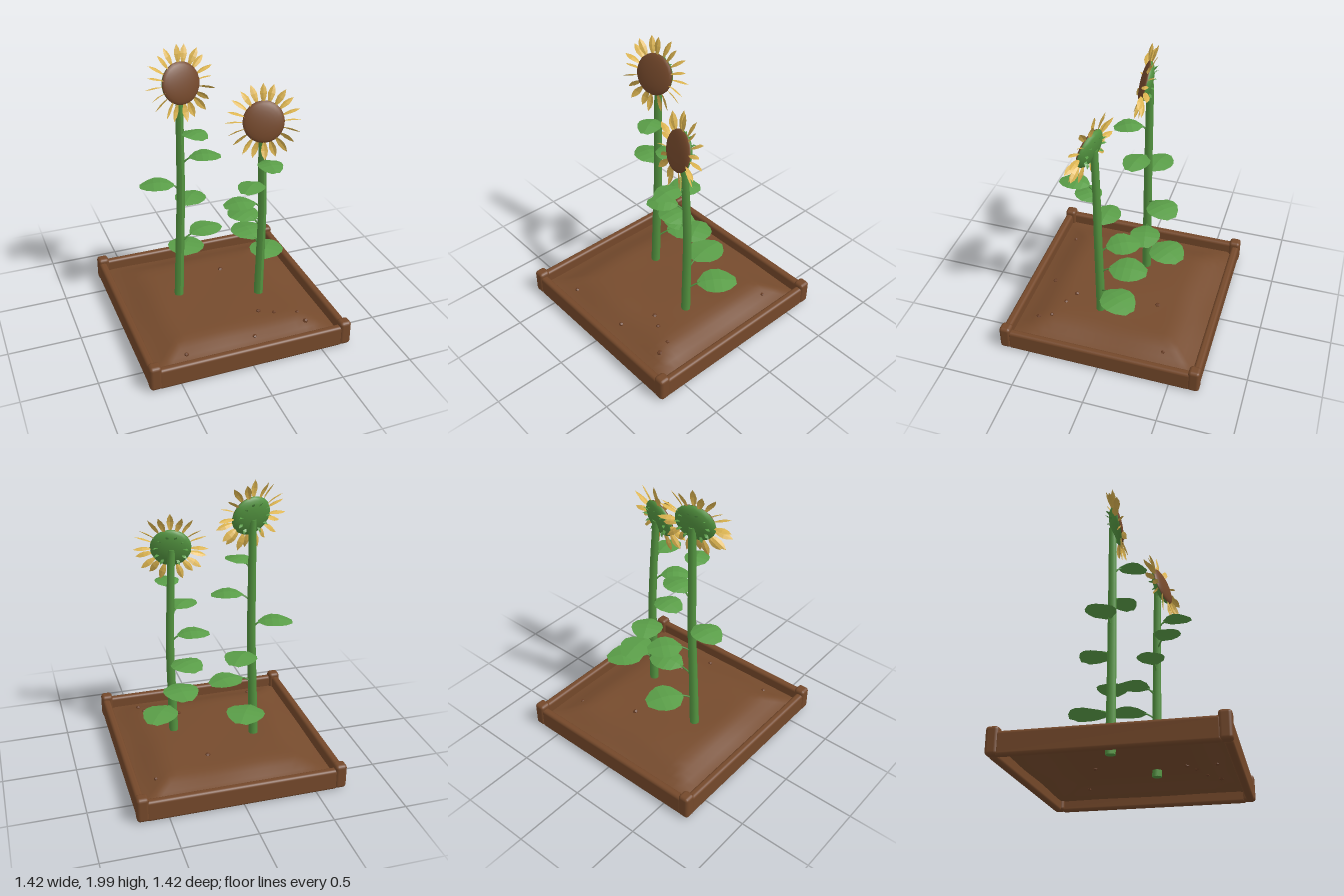
import * as THREE from 'three';
import { RoundedBoxGeometry } from 'three/addons/geometries/RoundedBoxGeometry.js';

const material = (name, color, extra = {}) => {
  const m = new THREE.MeshStandardMaterial({ color, ...extra });
  m.name = name;
  return m;
};

const mats = {
  wood: material('wood brown', 0x74482a),
  soil: material('soil brown', 0x764b2d, { side: THREE.DoubleSide }),
  seed: material('seed brown', 0x74482b),
  pebble: material('pebble brown', 0x6a3f26, { flatShading: true }),
  stem: material('stem green', 0x52923f),
  leaf: material('leaf green', 0x5a9e48, { side: THREE.DoubleSide, flatShading: true }),
  petal: material('petal yellow', 0xdcb450, { side: THREE.DoubleSide, flatShading: true }),
};

function add(parent, name, geometry, mat, x = 0, y = 0, z = 0) {
  const mesh = new THREE.Mesh(geometry, mat);
  mesh.name = name;
  mesh.position.set(x, y, z);
  parent.add(mesh);
  return mesh;
}

// Thin blade along +x, facing +z; widths are half-widths at even steps
function blade(length, width, widths, arch, cup) {
  const n = widths.length - 1;
  const geo = new THREE.PlaneGeometry(1, 1, n, 2);
  const p = geo.attributes.position;
  for (let i = 0; i < p.count; i++) {
    const u = p.getX(i) + 0.5, v = p.getY(i) * 2;
    const w = widths[Math.round(u * n)];
    p.setXYZ(i, u * length, v * w * width / 2,
      arch * Math.sin(Math.PI * Math.min(1, u * 1.05)) - cup * Math.abs(v) * w);
  }
  geo.computeVertexNormals();
  return geo;
}

const soilHeight = (x, z) => {
  const drop = t => THREE.MathUtils.smoothstep(Math.abs(t), 0.4, 0.68);
  return 0.142 - 0.075 * Math.max(drop(x), drop(z)) + 0.004 * Math.sin(x * 9) * Math.sin(z * 8 + 1);
};

function createPlanter() {
  const g = new THREE.Group();
  g.name = 'planter';
  for (let i = 0; i < 4; i++) {
    const side = new THREE.Group();
    side.name = 'planterSide';
    side.rotation.y = i * Math.PI / 2;
    add(side, 'beam', new RoundedBoxGeometry(1.3, 0.15, 0.054, 3, 0.02), mats.wood, 0, 0.075, 0.677);
    add(side, 'cornerPost', new RoundedBoxGeometry(0.08, 0.175, 0.08, 2, 0.022), mats.wood, 0.67, 0.0935, 0.67);
    g.add(side);
  }
  // Mounded earth
  const soil = new THREE.PlaneGeometry(1.33, 1.33, 24, 24).rotateX(-Math.PI / 2);
  const p = soil.attributes.position;
  for (let i = 0; i < p.count; i++) p.setY(i, soilHeight(p.getX(i), p.getZ(i)));
  soil.computeVertexNormals();
  add(g, 'soil', soil, mats.soil);

  const pebbles = [[0.525, -0.415], [0.13, -0.27], [0.19, 0.32], [0.285, 0.37],
    [0.437, 0.42], [0.46, 0.51], [0.075, 0.53], [-0.415, 0.545]];
  pebbles.forEach(([x, z], i) => {
    const r = 0.014 + 0.005 * ((i * 3) % 4) / 3;
    const m = add(g, 'pebble', new THREE.DodecahedronGeometry(r), mats.pebble, x, soilHeight(x, z), z);
    m.scale.y = 0.8;
    m.rotation.y = i * 1.3;
  });
  return g;
}

// Tapered stem whose rings follow a curve
function stemGeometry(curve, r0, r1) {
  const geo = new THREE.CylinderGeometry(r1, r0, 1, 9, 14);
  const p = geo.attributes.position, c = new THREE.Vector3();
  for (let i = 0; i < p.count; i++) {
    curve.getPoint(p.getY(i) + 0.5, c);
    p.setXYZ(i, p.getX(i) + c.x, c.y, p.getZ(i) + c.z);
  }
  geo.computeVertexNormals();
  return geo;
}

// Flower head facing +z
function createHead() {
  const g = new THREE.Group();
  g.name = 'flowerHead';
  const R = 0.138;
  const dome = depth => new THREE.SphereGeometry(R, 20, 6, 0, Math.PI * 2, 0, Math.PI / 2).scale(1, depth / R, 1);
  add(g, 'seedDisk', dome(0.03).rotateX(Math.PI / 2), mats.seed);
  add(g, 'headBack', dome(0.05).rotateX(-Math.PI / 2), mats.stem);

  const petal = blade(0.122, 0.046, [0.3, 0.75, 1, 0.75, 0.02], 0.008, 0.006);
  const count = 20;
  for (let i = 0; i < count; i++) {
    const a = Math.PI / 2 + i / count * Math.PI * 2;
    const m = add(g, 'petal', petal, mats.petal, Math.cos(a) * 0.127, Math.sin(a) * 0.127, i % 2 ? -0.008 : 0.004);
    // Petals twist so that they all lie face up
    m.rotation.set(a - Math.PI / 2, i % 2 ? 0.12 : -0.08, a, 'ZYX');
  }

  const sepal = blade(0.04, 0.022, [0.5, 1, 0.05], 0.004, 0);
  for (let i = 0; i < 11; i++) {
    const a = i / 11 * Math.PI * 2 + 0.2;
    const m = add(g, 'sepal', sepal, mats.leaf, Math.cos(a) * 0.085, Math.sin(a) * 0.085, -0.036);
    m.rotation.set(a - Math.PI / 2, 0.5, a, 'ZYX');
  }
  return g;
}

// Leaf: height, direction from the stem, blade length and width
function createLeaf(curve, [y, dx, dz, length, width]) {
  const g = new THREE.Group();
  g.name = 'leaf';
  const root = curve.getPoint((y - 0.1) / (curve.points.at(-1).y - 0.1));
  g.position.set(root.x, y, root.z);
  g.rotation.y = Math.atan2(-dz, dx);
  const start = Math.max(0.045, Math.hypot(dx, dz) - length / 2);
  const geo = blade(length, width, [0.18, 0.8, 1, 0.98, 0.75, 0.3], 0.022, 0.012).rotateX(-Math.PI / 2);
  add(g, 'leafBlade', geo, mats.leaf, start, 0, 0);
  const path = new THREE.QuadraticBezierCurve3(
    new THREE.Vector3(0.015, -0.045, 0), new THREE.Vector3(start * 0.6, -0.015, 0), new THREE.Vector3(start + 0.015, 0, 0));
  add(g, 'leafStalk', new THREE.TubeGeometry(path, 4, 0.006, 5), mats.stem);
  return g;
}

function createFlower({ name, path, head, yaw, leaves }) {
  const g = new THREE.Group();
  g.name = name;
  const curve = new THREE.CatmullRomCurve3(path.map(p => new THREE.Vector3(...p)));
  add(g, 'stem', stemGeometry(curve, 0.033, 0.025), mats.stem);
  for (const leaf of leaves) g.add(createLeaf(curve, leaf));
  const flowerHead = createHead();
  flowerHead.position.set(...head);
  flowerHead.rotation.set(-0.25, yaw, 0, 'YXZ');
  g.add(flowerHead);
  return g;
}

export function createModel() {
  const model = new THREE.Group();
  model.name = 'sunflowerPlanter';
  model.add(createPlanter());
  model.add(createFlower({
    name: 'tallSunflower',
    path: [[-0.26, 0.1, -0.077], [-0.245, 0.5, -0.079], [-0.228, 0.95, -0.083], [-0.225, 1.35, -0.085], [-0.222, 1.73, -0.088]],
    head: [-0.22, 1.746, -0.055],
    yaw: 0.23,
    leaves: [
      [0.41, 0.11, -0.18, 0.26, 0.26],
      [0.61, 0.2, -0.04, 0.24, 0.21],
      [0.82, 0.12, -0.14, 0.23, 0.22],
      [1.015, -0.155, -0.04, 0.23, 0.2],
      [1.215, 0.16, 0.04, 0.21, 0.18],
      [1.42, 0.06, 0.125, 0.19, 0.16],
    ],
  }));
  model.add(createFlower({
    name: 'shortSunflower',
    path: [[0.278, 0.1, 0.108], [0.285, 0.45, 0.11], [0.29, 0.8, 0.113], [0.278, 1.15, 0.12], [0.262, 1.5, 0.133]],
    head: [0.258, 1.5, 0.168],
    yaw: -0.23,
    leaves: [
      [0.38, 0.125, -0.17, 0.27, 0.24],
      [0.55, -0.02, -0.2, 0.26, 0.24],
      [0.72, -0.08, -0.15, 0.23, 0.22],
      [0.885, -0.16, -0.015, 0.22, 0.19],
      [1.065, -0.12, 0.1, 0.2, 0.18],
      [1.225, -0.005, 0.14, 0.2, 0.165],
    ],
  }));
  return model;
}
